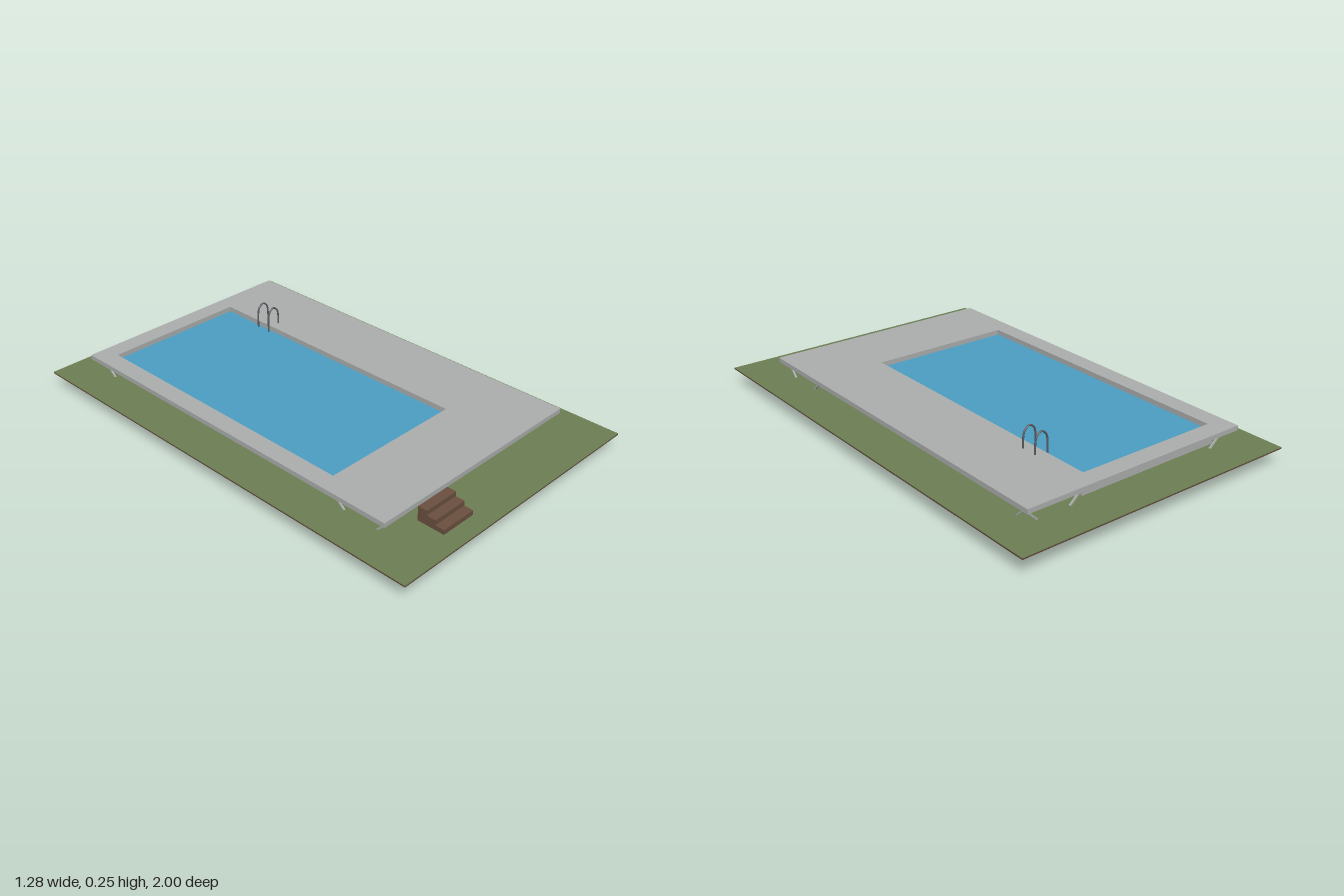
import * as THREE from 'three';

const mat = (name, color, side = THREE.FrontSide) => {
  const m = new THREE.MeshStandardMaterial({ color, side });
  m.name = name;
  return m;
};

export function createModel() {
  const root = new THREE.Group();
  root.name = 'swimmingPool';

  const grass = mat('grass green', 0x6d7f55);
  const earth = mat('earth brown', 0x634836);
  const wood = mat('stair brown', 0x6b5040);
  const concrete = mat('deck grey', 0xadb0b0);
  const basinBlue = mat('basin blue', 0x2f74b5);
  const waterBlue = mat('water blue', 0x4d9fc4);
  const steel = mat('ladder steel', 0x5a5d60);

  const GROUND = 0.08, DECK = 0.143, TOP = 0.163;

  const add = (name, geo, material, parent = root) => {
    const m = new THREE.Mesh(geo, material);
    m.name = name;
    parent.add(m);
    return m;
  };
  // Box given by its limits on each axis
  const box = (name, x0, x1, y0, y1, z0, z1, material, parent) => {
    const g = new THREE.BoxGeometry(x1 - x0, y1 - y0, z1 - z0);
    g.translate((x0 + x1) / 2, (y0 + y1) / 2, (z0 + z1) / 2);
    return add(name, g, material, parent);
  };
  // Rectangular slab with the pool opening cut through it
  const ring = (name, x0, x1, z0, z1, y0, y1, material) => {
    const rect = (P, a, b, c, d) => {
      const p = new P();
      p.moveTo(a, -d); p.lineTo(b, -d); p.lineTo(b, -c); p.lineTo(a, -c);
      p.closePath();
      return p;
    };
    const s = rect(THREE.Shape, x0, x1, z0, z1);
    s.holes.push(rect(THREE.Path, -0.44, 0.2, -0.8, 0.48));
    const g = new THREE.ExtrudeGeometry(s, { depth: y1 - y0, bevelEnabled: false });
    g.rotateX(-Math.PI / 2);
    g.translate(0, y0, 0);
    return add(name, g, material);
  };

  // Ground slab with a thin lawn on top
  box('groundSlab', -0.64, 0.64, 0.074, GROUND - 0.001, -1, 1, earth);
  box('lawn', -0.64, 0.64, GROUND - 0.001, GROUND + 0.001, -1, 1, grass);

  // Pool basin, its raised wall, water and deck
  box('basin', -0.44, 0.2, 0, 0.135, -0.8, 0.48, basinBlue);
  box('water', -0.44, 0.2, 0.135, 0.141, -0.8, 0.48, waterBlue);
  ring('poolWall', -0.455, 0.215, -0.815, 0.497, GROUND, DECK, concrete);
  ring('deck', -0.52, 0.52, -0.88, 0.8, DECK, TOP, concrete);

  // Diagonal braces under the deck
  const braces = new THREE.Group();
  braces.name = 'deckBraces';
  root.add(braces);
  const brace = (x0, z0, x1, z1) => {
    const a = new THREE.Vector3(x0, DECK, z0), b = new THREE.Vector3(x1, GROUND, z1);
    const g = new THREE.BoxGeometry(0.007, 0.007, a.distanceTo(b));
    const m = add('brace', g, concrete, braces);
    m.position.copy(a).add(b).multiplyScalar(0.5);
    m.lookAt(b);
  };
  for (let i = 0; i < 6; i++) {
    const x = -0.48 + 0.192 * i;
    brace(x, 0.795, x, 0.733);
    brace(x, 0.503, x, 0.575);
    brace(x, -0.845, x, -0.775);
  }
  for (let i = 0; i < 8; i++) {
    const z = -0.84 + 0.1845 * i;
    brace(0.508, z, 0.443, z);
    brace(0.228, z, 0.295, z);
    brace(-0.485, z, -0.415, z);
  }

  // Entry stairs
  const stairs = new THREE.Group();
  stairs.name = 'stairs';
  root.add(stairs);
  for (let i = 0; i < 3; i++) {
    box('step', -0.343, -0.182, GROUND + 0.021 * i, GROUND + 0.021 * (i + 1),
      0.8, 0.92 - 0.04 * i, wood, stairs);
  }

  // Ladder: two arched handrails, inner legs reaching into the water
  for (const z of [-0.525, -0.592]) {
    const pts = [[0.186, 0.135], [0.186, 0.2], [0.193, 0.232], [0.216, 0.248],
      [0.238, 0.232], [0.245, 0.2], [0.245, 0.16]];
    const curve = new THREE.CatmullRomCurve3(pts.map(([x, y]) => new THREE.Vector3(x, y, z)));
    add('ladderRail', new THREE.TubeGeometry(curve, 32, 0.0038, 8), steel);
  }

  return root;
}
